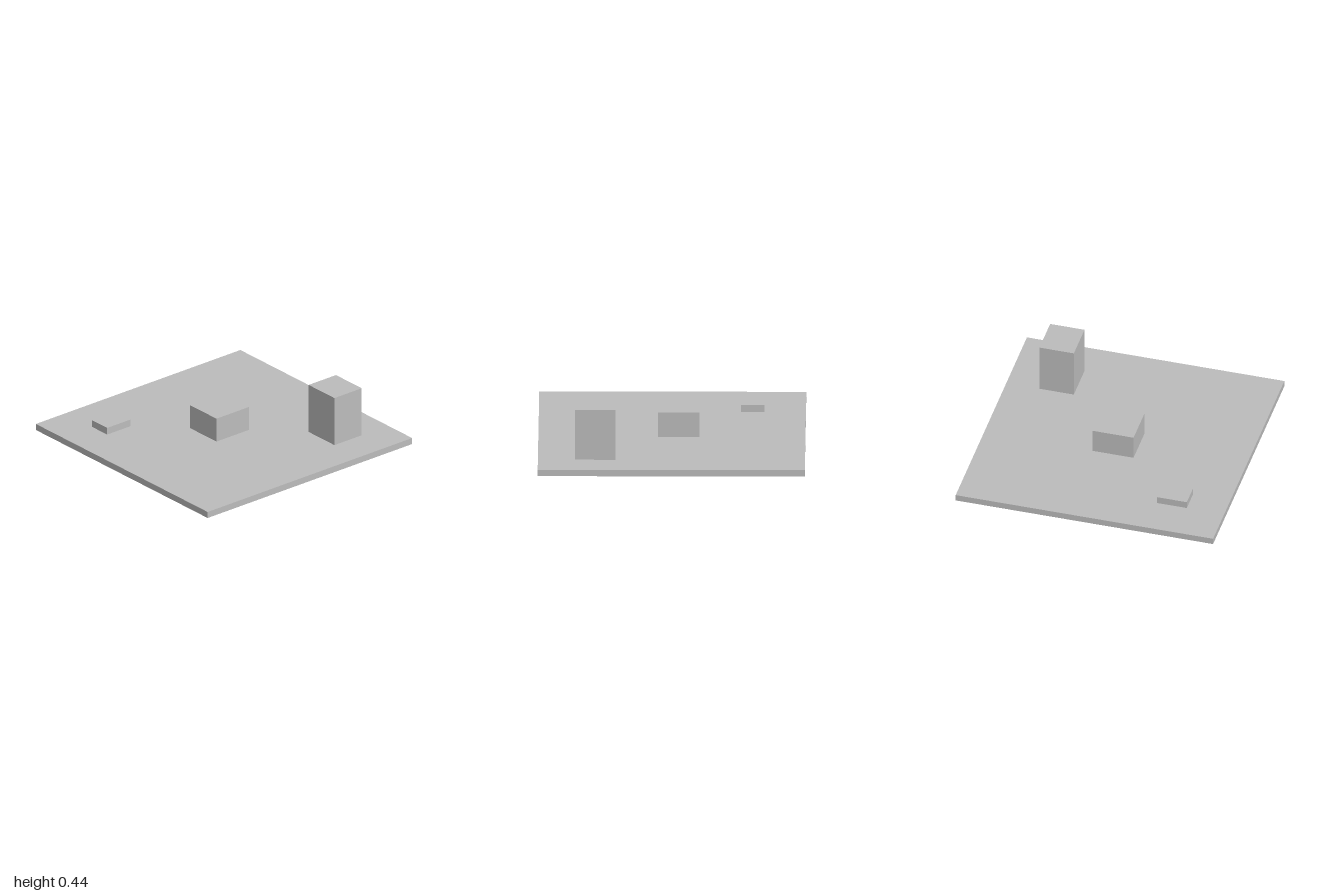
import * as THREE from 'three';

const BASE_TOP = 0.05;

export function createModel() {
  const model = new THREE.Group();
  const grey = new THREE.MeshStandardMaterial({ color: 0xbcbcbc });
  grey.name = 'lightGrey';

  // Box given by its extents along each axis
  function addBox(name, [x0, x1], [y0, y1], [z0, z1]) {
    const mesh = new THREE.Mesh(new THREE.BoxGeometry(x1 - x0, y1 - y0, z1 - z0), grey);
    mesh.name = name;
    mesh.position.set((x0 + x1) / 2, (y0 + y1) / 2, (z0 + z1) / 2);
    model.add(mesh);
  }

  // Square ground slab
  addBox('basePlate', [-1, 1], [0, BASE_TOP], [-1, 1]);

  // Three blocks standing diagonally across the slab
  addBox('lowBlock', [-0.69, -0.515], [BASE_TOP, 0.105], [0.48, 0.71]);
  addBox('middleBlock', [-0.205, 0.105], [BASE_TOP, 0.24], [-0.155, 0.162]);
  addBox('tallBlock', [0.42, 0.72], [BASE_TOP, 0.44], [-0.742, -0.475]);

  return model;
}
